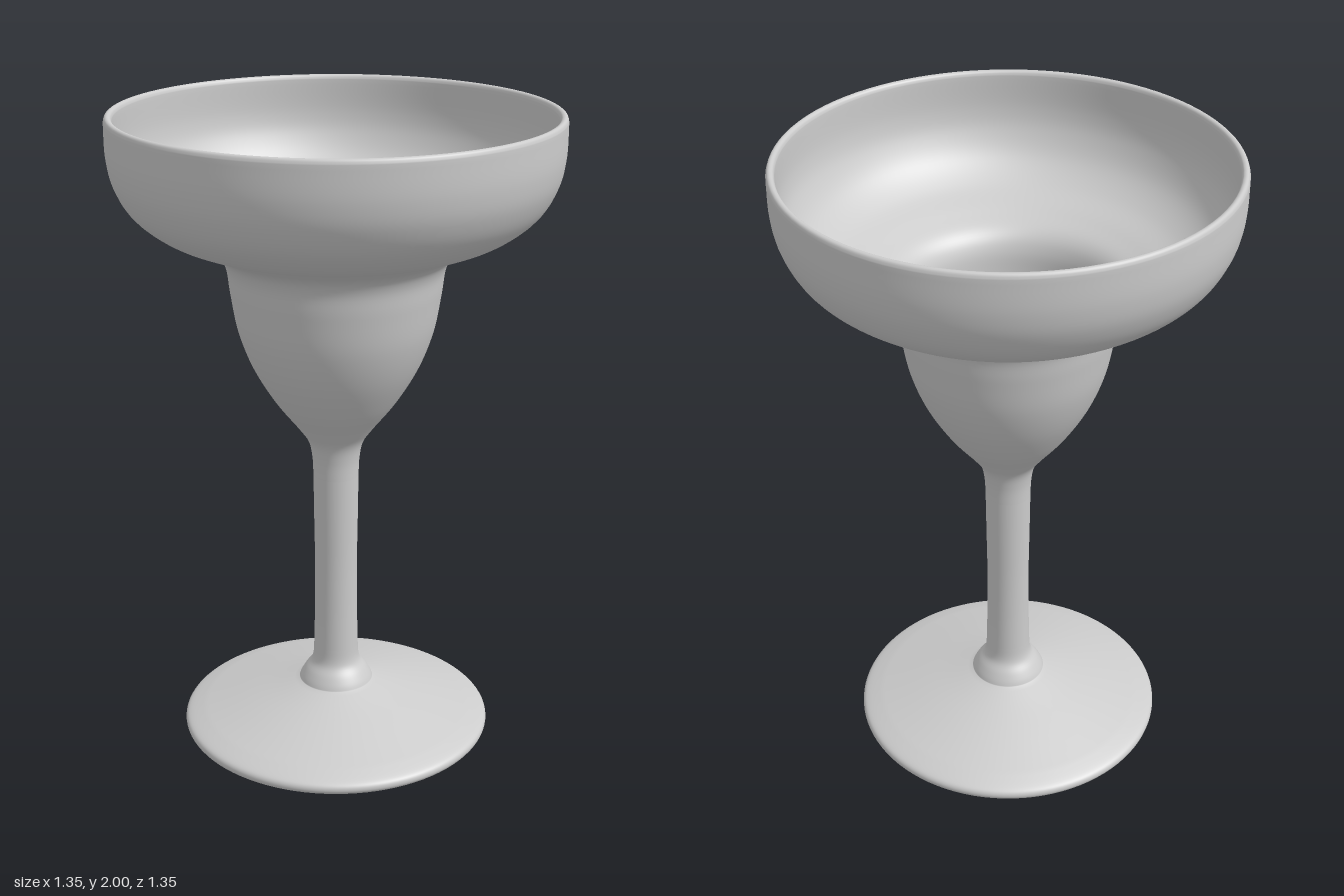
import * as THREE from 'three';

const material = new THREE.MeshStandardMaterial({ color: 0xcccccc, side: THREE.DoubleSide });

// Smooth curve through [radius, height] points
function smooth(points, steps) {
  const curve = new THREE.SplineCurve(points.map(([r, y]) => new THREE.Vector2(r, y)));
  return curve.getPoints(steps).map((p) => new THREE.Vector2(Math.max(p.x, 0), p.y));
}

function turned(name, profile) {
  const mesh = new THREE.Mesh(new THREE.LatheGeometry(profile, 96), material);
  mesh.name = name;
  return mesh;
}

export function createModel() {
  const glass = new THREE.Group();
  glass.name = 'cocktailGlass';

  // Foot: hollow underside, rounded edge, conical top and collar
  const underside = smooth([[0, 0.1], [0.06, 0.1], [0.12, 0.09], [0.3, 0.045], [0.43, 0.012], [0.465, 0.002]], 24);
  const edge = smooth([[0.475, 0], [0.487, 0.001], [0.494, 0.012], [0.491, 0.026], [0.475, 0.037], [0.43, 0.054]], 20);
  const top = smooth([[0.42, 0.057], [0.3, 0.093], [0.2, 0.122], [0.135, 0.142]], 10);
  const collar = smooth([[0.119, 0.147], [0.112, 0.163], [0.098, 0.186], [0.08, 0.21], [0.073, 0.235], [0.071, 0.27]], 20);
  glass.add(turned('foot', [...underside, ...edge, ...top, ...collar]));

  // Stem: slightly waisted
  glass.add(turned('stem', smooth([[0.071, 0.27], [0.068, 0.4], [0.067, 0.55], [0.069, 0.7], [0.071, 0.86]], 16)));

  // Bowl: outer wall, rounded rim, inner wall down to the base of the cup
  const outer = smooth([
    [0.071, 0.86], [0.074, 0.92], [0.086, 0.975], [0.12, 1.025], [0.19, 1.115], [0.255, 1.225],
    [0.298, 1.34], [0.32, 1.46], [0.332, 1.54], [0.362, 1.585], [0.43, 1.618], [0.53, 1.66],
    [0.61, 1.723], [0.655, 1.8], [0.673, 1.88], [0.675, 1.97],
  ], 90);
  const rim = smooth([[0.675, 1.985], [0.671, 1.996], [0.663, 2], [0.654, 1.996], [0.65, 1.985]], 12);
  const inner = smooth([
    [0.65, 1.97], [0.648, 1.88], [0.631, 1.81], [0.588, 1.738], [0.515, 1.681], [0.42, 1.641],
    [0.345, 1.605], [0.31, 1.55], [0.297, 1.46], [0.275, 1.345], [0.232, 1.235],
    [0.17, 1.13], [0.11, 1.06], [0.06, 1.03], [0, 1.02],
  ], 90);
  glass.add(turned('bowl', [...outer, ...rim, ...inner]));

  return glass;
}
